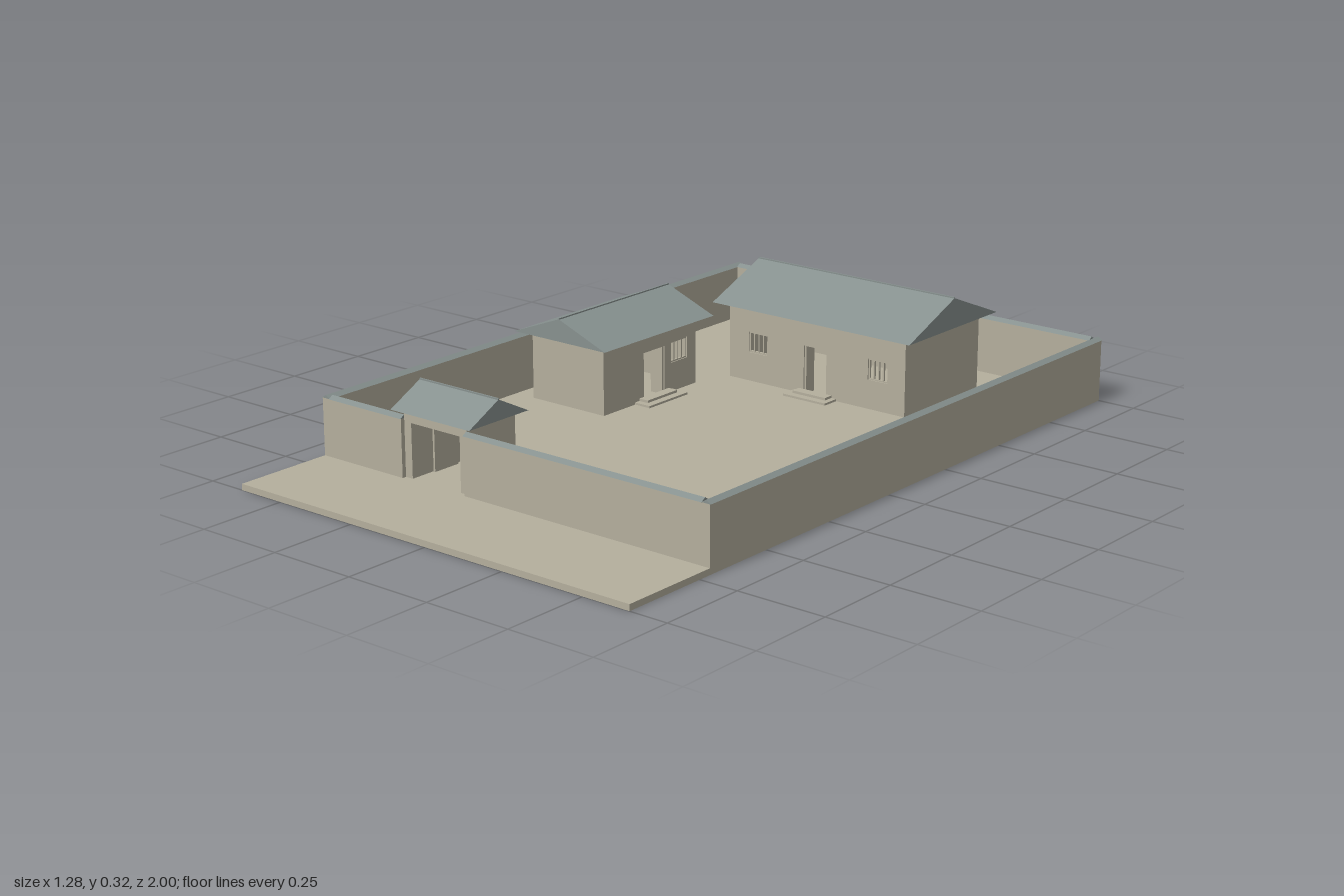
import * as THREE from 'three';

const plaster = new THREE.MeshStandardMaterial({ name: 'plaster', color: 0xb4af9d });
const tile = new THREE.MeshStandardMaterial({ name: 'roofTile', color: 0x87918f });

const FLOOR = 0.017;

// Box given by its minimum and maximum on each axis
function block(parent, name, x0, x1, y0, y1, z0, z1, material = plaster) {
  const mesh = new THREE.Mesh(new THREE.BoxGeometry(x1 - x0, y1 - y0, z1 - z0), material);
  mesh.position.set((x0 + x1) / 2, (y0 + y1) / 2, (z0 + z1) / 2);
  mesh.name = name;
  parent.add(mesh);
  return mesh;
}

// Solid gable prism with its ridge along local x
function gable(parent, name, length, half, eave, ridge, x, z, turn = 0) {
  const s = new THREE.Shape();
  s.moveTo(-half, eave);
  s.lineTo(half, eave);
  s.lineTo(0, ridge);
  s.closePath();
  const geo = new THREE.ExtrudeGeometry(s, { depth: length, bevelEnabled: false });
  geo.translate(0, 0, -length / 2);
  geo.rotateY(Math.PI / 2);
  const mesh = new THREE.Mesh(geo, tile);
  mesh.position.set(x, 0, z);
  mesh.rotation.y = turn;
  mesh.name = name;
  parent.add(mesh);
}

// Roof with a fine ridge strip
function roof(parent, length, half, eave, ridge) {
  gable(parent, 'roof', length, half, eave, ridge, 0, 0);
  block(parent, 'ridgeStrip', -length / 2, length / 2, ridge - 0.003, ridge + 0.003, -0.002, 0.002, tile);
}

// Hollow house, door and windows on its local +z side
function house({ name, w, d, eave, ridge, over, door, windows }) {
  const g = new THREE.Group();
  g.name = name;
  const t = 0.015, hw = w / 2, hd = d / 2, doorTop = 0.155;
  const [dx, dw] = door;
  const s = new THREE.Shape();
  [[-hw, FLOOR], [dx - dw / 2, FLOOR], [dx - dw / 2, doorTop], [dx + dw / 2, doorTop],
    [dx + dw / 2, FLOOR], [hw, FLOOR], [hw, eave], [-hw, eave]]
    .forEach(([x, y], i) => (i ? s.lineTo(x, y) : s.moveTo(x, y)));
  s.closePath();

  // window openings, with frame and bars
  const y0 = 0.1, y1 = 0.16;
  for (const [wx, ww] of windows) {
    const a = wx - ww / 2, b = wx + ww / 2;
    const hole = new THREE.Path();
    hole.moveTo(a, y0);
    hole.lineTo(a, y1);
    hole.lineTo(b, y1);
    hole.lineTo(b, y0);
    hole.closePath();
    s.holes.push(hole);
    for (let i = 0; i <= 4; i++) {
      const x = a + 0.002 + (i / 4) * (ww - 0.004);
      block(g, 'windowBar', x - 0.002, x + 0.002, y0, y1, hd - 0.01, hd - 0.004);
    }
    for (const y of [y0, y1 - 0.004]) block(g, 'windowRail', a, b, y, y + 0.004, hd - 0.011, hd - 0.003);
  }
  const front = new THREE.Mesh(new THREE.ExtrudeGeometry(s, { depth: t, bevelEnabled: false }), plaster);
  front.position.z = hd - t;
  front.name = 'frontWall';
  g.add(front);

  // remaining walls
  block(g, 'backWall', -hw, hw, FLOOR, eave, -hd, -hd + t);
  for (const sx of [-1, 1]) {
    const x = sx * (hw - t / 2);
    block(g, 'sideWall', x - t / 2, x + t / 2, FLOOR, eave, -hd + t, hd - t);
    // open door leaves, swung inwards
    const lx = dx + sx * (dw / 2 - 0.003);
    block(g, 'doorLeaf', lx - 0.003, lx + 0.003, FLOOR, doorTop, hd - dw / 2, hd - 0.004);
  }

  // two low doorsteps
  block(g, 'upperStep', dx - dw * 0.7, dx + dw * 0.7, FLOOR, 0.03, hd, hd + 0.03);
  block(g, 'lowerStep', dx - dw * 0.9, dx + dw * 0.9, FLOOR, 0.023, hd, hd + 0.052);

  roof(g, w + over * 2, hd + over, eave, ridge);
  return g;
}

function gatehouse() {
  const g = new THREE.Group();
  g.name = 'gatehouse';
  const hw = 0.108, inner = 0.084, hd = 0.088, top = 0.195;
  for (const s of [-1, 1]) {
    const x = s * (hw + inner) / 2, h = (hw - inner) / 2;
    block(g, 'gatePier', x - h, x + h, FLOOR, top, -hd, hd);
    const lx = s * (inner - 0.005);
    block(g, 'gateLeaf', lx - 0.003, lx + 0.003, FLOOR, 0.163, -0.07, 0.015);
  }
  block(g, 'gateLintel', -inner, inner, 0.165, top, -hd, hd);
  roof(g, 0.272, 0.108, top, 0.25);
  return g;
}

export function createModel() {
  const model = new THREE.Group();
  model.name = 'walledCourtyard';
  block(model, 'ground', -0.64, 0.64, 0, FLOOR, -1, 1);

  // perimeter wall pieces: x range, z range
  const W = 0.64, t = 0.024, F = 0.713, top = 0.174;
  const walls = [
    ['leftWall', W - t, W, -1, F],
    ['rightWall', -W, -W + t, -1, F],
    ['backWall', -W + t, W - t, -1, -1 + t],
    ['frontWallRight', -W + t, -0.358, F - t, F],
    ['frontWallLeft', -0.143, W - t, F - t, F],
  ];
  for (const [name, x0, x1, z0, z1] of walls) {
    block(model, name, x0, x1, FLOOR, top, z0, z1);
    const alongZ = z1 - z0 > x1 - x0;
    gable(model, name + 'Coping', alongZ ? z1 - z0 : x1 - x0, t / 2 + 0.002, top, 0.183,
      (x0 + x1) / 2, (z0 + z1) / 2, alongZ ? Math.PI / 2 : 0);
  }

  const main = house({
    name: 'mainHouse', w: 0.6, d: 0.35, eave: 0.234, ridge: 0.319, over: 0.035,
    door: [0, 0.08], windows: [[-0.2, 0.066], [0.21, 0.066]],
  });
  main.position.set(0.04, 0, -0.668);

  const side = house({
    name: 'sideHouse', w: 0.392, d: 0.256, eave: 0.21, ridge: 0.273, over: 0.035,
    door: [0.015, 0.09], windows: [[0.122, 0.07]],
  });
  side.position.set(-0.423, 0, -0.187);
  side.rotation.y = Math.PI / 2;

  const gate = gatehouse();
  gate.position.set(-0.25, 0, 0.613);

  model.add(main, side, gate);
  return model;
}
